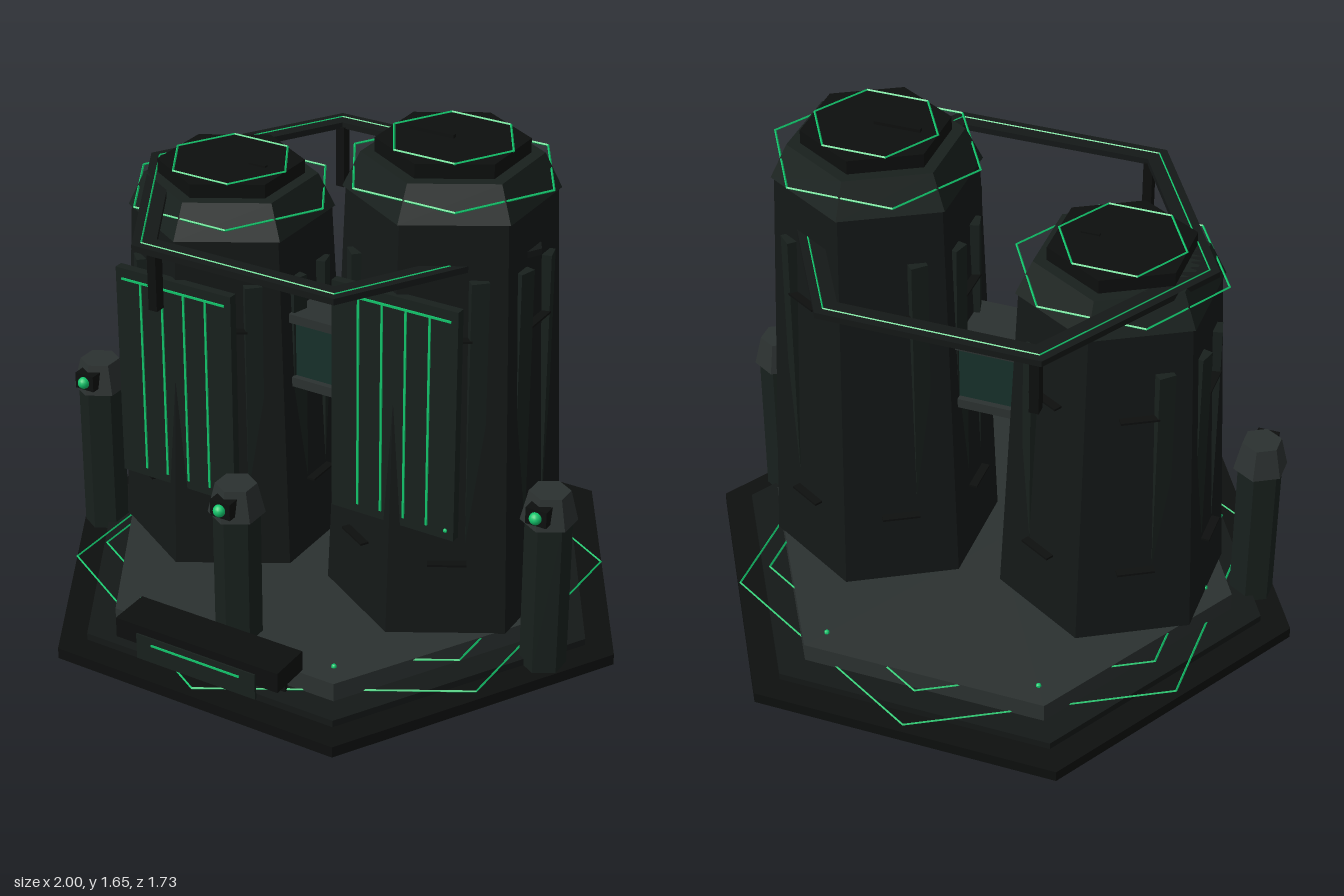
import * as THREE from 'three';

const mat = (c, opts = {}) => {
  const m = new THREE.MeshStandardMaterial({ flatShading: true, ...opts });
  m.color.set(c);
  return m;
};
const black = mat(0x0d0f0e), dark = mat(0x141817), panelGrey = mat(0x18201d);
const grey = mat(0x2b3130), teal = mat(0x16302a), green = mat(0x12c46b);

function add(parent, name, geo, material, x = 0, y = 0, z = 0) {
  const m = new THREE.Mesh(geo, material);
  m.name = name;
  m.position.set(x, y, z);
  parent.add(m);
  return m;
}
const box = (w, h, d) => new THREE.BoxGeometry(w, h, d);

// Hexagonal prism standing from y0 to y1; corners on z, or on x when turned
function hex(r0, r1, y0, y1, cornersOnX = false) {
  const g = new THREE.CylinderGeometry(r1, r0, y1 - y0, 6);
  if (cornersOnX) g.rotateY(Math.PI / 6);
  return g.translate(0, (y0 + y1) / 2, 0);
}

// Thin glowing hexagonal outline lying flat
function hexLine(r, cornersOnX = true, tube = 0.004) {
  const g = new THREE.TorusGeometry(r, tube, 4, 6);
  if (!cornersOnX) g.rotateZ(Math.PI / 6);
  return g.rotateX(Math.PI / 2);
}

// Flat hexagonal frame with corners on x
function hexFrame(outer, inner, h) {
  const pts = (r) => Array.from({ length: 6 }, (_, i) =>
    new THREE.Vector2(r * Math.cos(i * Math.PI / 3), r * Math.sin(i * Math.PI / 3)));
  const s = new THREE.Shape(pts(outer));
  s.holes.push(new THREE.Path(pts(inner)));
  return new THREE.ExtrudeGeometry(s, { depth: h, bevelEnabled: false }).rotateX(-Math.PI / 2);
}

function makeBase() {
  const g = new THREE.Group();
  g.name = 'base';
  add(g, 'groundPlate', hex(1, 1, 0, 0.037, true), black);
  add(g, 'middleStep', hex(0.9, 0.9, 0.037, 0.06, true), dark);
  add(g, 'deck', hex(0.8, 0.8, 0.06, 0.122, true), grey);
  add(g, 'outerGlowLine', hexLine(0.86, false), green, 0, 0.063, 0);
  add(g, 'innerGlowLine', hexLine(0.76, false), green, 0, 0.117, 0);
  for (let i = 0; i < 6; i++) {
    const a = i * Math.PI / 3;
    add(g, 'deckStud', new THREE.SphereGeometry(0.009, 8, 6), green,
      0.71 * Math.cos(a), 0.124, 0.71 * Math.sin(a));
  }
  return g;
}

// Tapered hexagonal tower; top is the height of the body below the collar
function makeTower(name, x, top, ribTop, panelY0, panelY1, clipY) {
  const g = new THREE.Group();
  g.name = name;
  g.position.x = x;
  add(g, 'body', hex(0.37, 0.315, 0.12, top), dark);
  add(g, 'collar', hex(0.325, 0.272, top, top + 0.11), panelGrey);
  add(g, 'cap', hex(0.23, 0.23, top + 0.11, top + 0.155), black);
  add(g, 'collarGlowLine', hexLine(0.335), green, 0, top + 0.063, 0);
  add(g, 'capGlowLine', hexLine(0.2), green, 0, top + 0.156, 0);

  // Upright ribs that emerge from the sloping faces
  for (const sx of [-1, 1]) for (const sz of [-1, 1]) for (const deg of [15, 45]) {
    const a = deg * Math.PI / 180, h = ribTop - 0.3;
    const rib = add(g, 'rib', box(0.03, h, 0.055), panelGrey,
      sx * 0.298 * Math.cos(a), 0.3 + h / 2, sz * 0.298 * Math.sin(a));
    rib.rotation.y = -Math.atan2(sz * Math.sin(a), sx * Math.cos(a));
  }
  // Thin clips on every face
  for (const y of [0.375, clipY]) {
    const r = (0.37 - 0.055 * (y - 0.12) / (top - 0.12)) * 0.866 + 0.012;
    for (let i = 0; i < 6; i++) {
      const a = i * Math.PI / 3;
      add(g, 'clip', box(0.03, 0.007, 0.12), black, r * Math.cos(a), y, -r * Math.sin(a)).rotation.y = a;
    }
  }
  // Front panel with glowing strips
  const h = panelY1 - panelY0, zf = 0.338;
  add(g, 'frontPanel', box(0.425, h, 0.03), panelGrey, 0, (panelY0 + panelY1) / 2, zf - 0.015);
  const s0 = panelY0 + 0.03, s1 = panelY1 - 0.035;
  for (const dx of [-0.12, -0.04, 0.04, 0.12])
    add(g, 'lightStrip', box(0.007, s1 - s0, 0.008), green, dx, (s0 + s1) / 2, zf);
  add(g, 'topLightStrip', box(0.38, 0.007, 0.008), green, 0, s1, zf);
  add(g, 'panelLamp', new THREE.SphereGeometry(0.007, 8, 6), green, 0.185, s0, zf);
  return g;
}

function makeLampPillar(x, z) {
  const g = new THREE.Group();
  g.name = 'lampPillar';
  g.position.set(x, 0, z);
  add(g, 'post', hex(0.073, 0.073, 0.037, 0.55), panelGrey);
  add(g, 'head', hex(0.088, 0.064, 0.55, 0.65), grey);
  add(g, 'lampHousing', box(0.07, 0.055, 0.06), black, 0, 0.6, 0.06);
  add(g, 'lamp', new THREE.SphereGeometry(0.02, 14, 10), mat(0x12c46b, { flatShading: false }), 0, 0.6, 0.093);
  return g;
}

function makeBridge() {
  const g = new THREE.Group();
  g.name = 'bridge';
  add(g, 'bridgeCore', box(0.26, 0.19, 0.2), teal, 0, 0.86, 0);
  add(g, 'bridgeRoof', box(0.26, 0.03, 0.24), grey, 0, 0.97, 0);
  add(g, 'bridgeFloor', box(0.26, 0.032, 0.24), grey, 0, 0.75, 0);
  for (const z of [-0.102, 0.102])
    add(g, 'bridgeGlowLine', box(0.24, 0.006, 0.006), green, 0, 0.952, z);
  return g;
}

function makeHalo() {
  const g = new THREE.Group();
  g.name = 'halo';
  add(g, 'haloFrame', hexFrame(0.695, 0.612, 0.02), dark, 0, 1.335, 0);
  add(g, 'haloGlowLine', hexLine(0.663), green, 0, 1.354, 0);
  for (const z of [-0.54, 0.54])
    add(g, 'haloHanger', box(0.03, 0.21, 0.036), black, -0.31, 1.235, z);
  return g;
}

function makeConsole() {
  const g = new THREE.Group();
  g.name = 'console';
  add(g, 'consoleTop', box(0.585, 0.068, 0.14), black, 0, 0.17, 0.765);
  add(g, 'consoleScreen', box(0.43, 0.088, 0.008), panelGrey, 0, 0.131, 0.836);
  add(g, 'screenGlowLine', box(0.32, 0.007, 0.004), green, 0, 0.15, 0.841);
  for (const x of [-0.24, 0.24])
    add(g, 'consoleLeg', box(0.02, 0.1, 0.016), black, x, 0.088, 0.72);
  return g;
}

export function createModel() {
  const model = new THREE.Group();
  model.name = 'twinTowerStation';
  model.add(makeBase());
  const tall = makeTower('tallTower', 0.392, 1.485, 1.31, 0.5, 1.265, 1.125);
  add(tall, 'roofBar', box(0.15, 0.012, 0.014), black, -0.07, 1.645, 0);
  const short = makeTower('shortTower', -0.392, 1.245, 1.1, 0.392, 1.115, 0.95);
  add(short, 'roofBar', box(0.06, 0.008, 0.014), black, 0.1, 1.402, 0);
  model.add(tall, short, makeBridge(), makeHalo(), makeConsole());
  for (const [x, z] of [[-0.827, 0.148], [0.827, 0.148], [0, 0.595]])
    model.add(makeLampPillar(x, z));
  return model;
}
